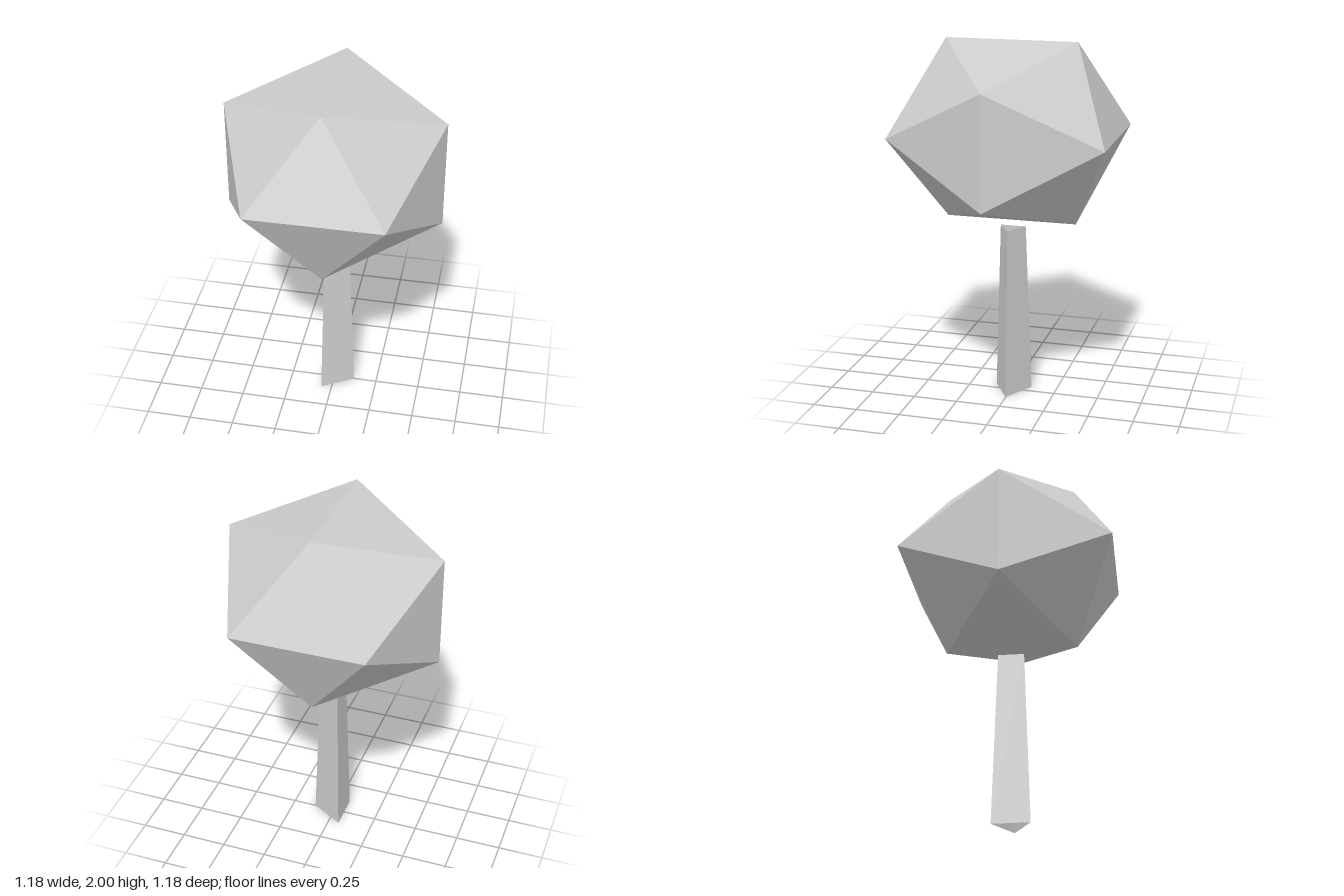
import * as THREE from 'three';

export function createModel() {
  const model = new THREE.Group();
  model.name = 'lowPolyTree';

  const grey = new THREE.MeshStandardMaterial({ color: 0xcccccc, side: THREE.DoubleSide, flatShading: true });
  grey.name = 'light grey';

  // Crown: icosahedron with its top edge along z, slightly flattened
  const crownGeometry = new THREE.IcosahedronGeometry(0.691, 0);
  crownGeometry.rotateY(Math.PI / 2);
  crownGeometry.scale(1, 0.844, 1);
  const crown = new THREE.Mesh(crownGeometry, grey);
  crown.name = 'crown';
  crown.position.y = 1.504;
  model.add(crown);

  // Trunk: tapered three-sided open tube with one edge towards +x
  const trunkHeight = 0.963;
  const trunkGeometry = new THREE.CylinderGeometry(0.083, 0.12, trunkHeight, 3, 1, true, Math.PI / 2);
  const trunk = new THREE.Mesh(trunkGeometry, grey);
  trunk.name = 'trunk';
  trunk.position.y = trunkHeight / 2;
  model.add(trunk);

  return model;
}
